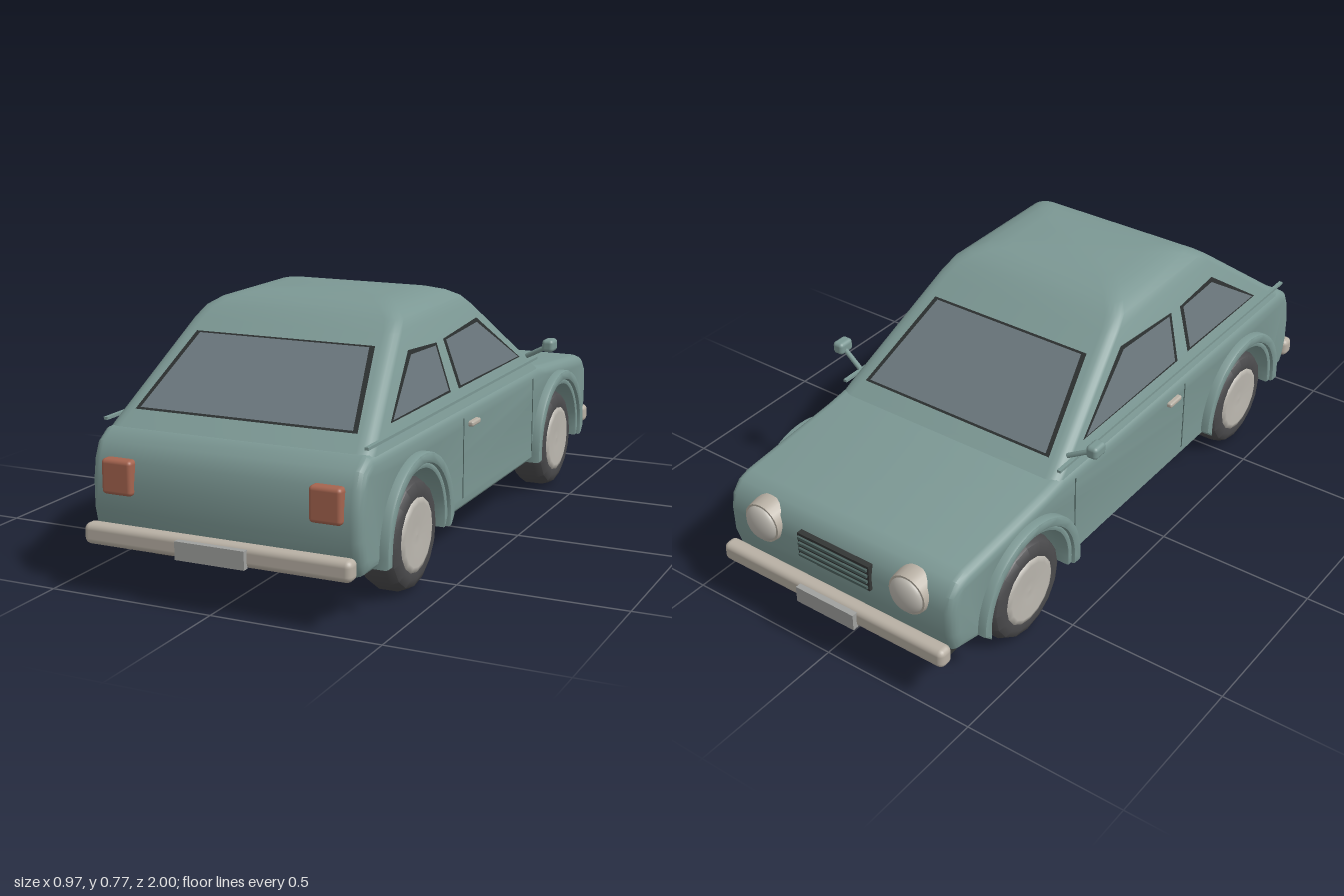
import * as THREE from 'three';
import { toCreasedNormals } from 'three/addons/utils/BufferGeometryUtils.js';
import { RoundedBoxGeometry } from 'three/addons/geometries/RoundedBoxGeometry.js';

const mat = (color, side = THREE.FrontSide) => new THREE.MeshStandardMaterial({ color, side });
const paint = mat(0x7c9894), chrome = mat(0xb8b0a4), dark = mat(0x333635), rubber = mat(0x4a4a4c);
const glass = mat(0x6b777d, THREE.DoubleSide), seal = mat(0x2c3030, THREE.DoubleSide);
const hubGrey = mat(0xbab6ae), lampRed = mat(0xa5644f), plateGrey = mat(0xa0a19f), seam = mat(0x4d625f);

const AXLES = [-0.6, 0.59], AXLE_Y = 0.16, FLOOR = 0.13;

export function createModel() {
  const car = new THREE.Group();
  car.name = 'car';

  const add = (name, geo, material, x = 0, y = 0, z = 0) => {
    const m = new THREE.Mesh(geo, material);
    m.name = name;
    m.position.set(x, y, z);
    car.add(m);
    return m;
  };
  const box = (name, w, h, d, material, x, y, z, r = 0) =>
    add(name, r ? new RoundedBoxGeometry(w, h, d, 3, r) : new THREE.BoxGeometry(w, h, d), material, x, y, z);

  // Extrude a (z, y) side profile across x, centred on x = 0
  const across = (shape, width, bevel, segments) => {
    const depth = width - 2 * bevel;
    const g = new THREE.ExtrudeGeometry(shape, {
      depth, bevelEnabled: true, bevelSize: bevel, bevelThickness: bevel,
      bevelOffset: -bevel, bevelSegments: segments, curveSegments: 16,
    });
    g.translate(0, 0, -depth / 2).rotateY(-Math.PI / 2);
    return toCreasedNormals(g, 0.6);
  };

  // Lower body with wheel arches
  const dip = Math.asin((AXLE_Y - FLOOR) / 0.19);
  const side = new THREE.Shape();
  side.moveTo(-0.9, FLOOR);
  for (const z of AXLES) side.absarc(z, AXLE_Y, 0.19, Math.PI + dip, -dip, true);
  for (const [z, y] of [[0.9, 0.13], [0.92, 0.165], [0.935, 0.23], [0.935, 0.31], [0.925, 0.37],
    [0.905, 0.415], [0.86, 0.445], [-0.42, 0.442], [-0.5, 0.43], [-0.86, 0.398], [-0.9, 0.385],
    [-0.93, 0.35], [-0.94, 0.3], [-0.938, 0.22], [-0.92, 0.16]]) side.lineTo(z, y);
  side.closePath();
  add('lowerBody', across(side, 0.82, 0.03, 4), paint);

  // Floor and inner walls of the wheel wells
  box('floor', 0.57, 0.27, 1.74, dark, 0, 0.262, 0.01);
  box('floorCentre', 0.75, 0.02, 0.78, dark, 0, 0.137, -0.005);

  // Cabin: rounded rectangles stacked upward [y, z max, z min, half width]
  const rings = [
    [0.41, 0.9, -0.49, 0.407], [0.45, 0.85, -0.43, 0.398], [0.7, 0.527, -0.06, 0.325],
    [0.73, 0.485, -0.015, 0.31], [0.75, 0.45, 0.025, 0.28], [0.763, 0.4, 0.07, 0.24], [0.769, 0.34, 0.12, 0.19],
  ];
  const STEPS = 4, n = 4 * (STEPS + 1), pos = [], idx = [];
  rings.forEach(([y, z1, z0, w]) => {
    const r = 0.04, cz = (z1 + z0) / 2, hz = (z1 - z0) / 2;
    for (let q = 0; q < 4; q++) {
      for (let s = 0; s <= STEPS; s++) {
        const a = (q + s / STEPS) * Math.PI / 2, sx = q === 0 || q === 3 ? 1 : -1, sz = q < 2 ? 1 : -1;
        pos.push(sx * (w - r) + r * Math.cos(a), y, cz + sz * (hz - r) + r * Math.sin(a));
      }
    }
  });
  for (let i = 0; i < rings.length - 1; i++) {
    for (let j = 0; j < n; j++) {
      const a = i * n + j, b = i * n + (j + 1) % n;
      idx.push(a, a + n, b, b, a + n, b + n);
    }
  }
  const top = (rings.length - 1) * n;
  pos.push(0, 0.77, 0.23);
  for (let j = 0; j < n; j++) idx.push(rings.length * n, top + (j + 1) % n, top + j);
  const cabin = new THREE.BufferGeometry();
  cabin.setAttribute('position', new THREE.Float32BufferAttribute(pos, 3));
  cabin.setIndex(idx);
  add('cabin', toCreasedNormals(cabin, 0.6), paint);

  // Windows: a pane on a slightly larger dark seal, both lying on the cabin surface
  const inside = new THREE.Vector3(0, 0.5, 0.2);
  const quad = (name, pts, grow, lift, material) => {
    const c = pts.reduce((s, p) => s.add(p), new THREE.Vector3()).multiplyScalar(0.25);
    const nrm = pts[1].clone().sub(pts[0]).cross(pts[2].clone().sub(pts[0])).normalize();
    const out = nrm.dot(c.clone().sub(inside)) > 0;
    if (!out) nrm.negate();
    const v = pts.map(p => {
      const d = p.clone().sub(c);
      return p.clone().addScaledVector(d.normalize(), grow).addScaledVector(nrm, lift);
    });
    const g = new THREE.BufferGeometry().setFromPoints(v);
    g.setIndex(out ? [0, 1, 2, 0, 2, 3] : [0, 2, 1, 0, 3, 2]);
    g.computeVertexNormals();
    add(name, g, material);
  };
  const pane = (name, pts) => {
    quad(name + 'Seal', pts, 0, 0.002, seal);
    quad(name, pts, -0.016, 0.004, glass);
  };
  const mix = (y, lo, hi) => lo + (hi - lo) * (y - 0.45) / 0.25;
  const endPane = (name, lo, hi) => pane(name, [[-0.34, 0.485], [0.34, 0.485], [0.28, 0.67], [-0.28, 0.67]]
    .map(([x, y]) => new THREE.Vector3(x, y - (lo < 0 ? 0.013 : 0), mix(y - (lo < 0 ? 0.013 : 0), lo, hi))));
  endPane('rearWindow', 0.85, 0.527);
  endPane('windshield', -0.43, -0.06);

  // Headlight reflector and lens profiles
  const lens = new THREE.SphereGeometry(0.056, 24, 10, 0, Math.PI * 2, 0, Math.PI / 2);
  lens.scale(1, 0.45, 1).rotateX(-Math.PI / 2);

  // Tyre and hub profiles, turned about x
  const turn = (pts, segs) => new THREE.LatheGeometry(pts.map(p => new THREE.Vector2(...p)), segs).rotateZ(-Math.PI / 2);
  const tyre = toCreasedNormals(turn([[0.0, -0.06], [0.12, -0.06], [0.148, -0.05], [0.16, -0.028], [0.16, 0.028],
    [0.148, 0.05], [0.125, 0.06], [0.106, 0.056], [0, 0.045]], 16), 0.7);
  const hub = turn([[0.108, 0.045], [0.106, 0.058], [0.09, 0.063], [0.03, 0.056], [0, 0.058]], 16);

  // Flared lip around a wheel arch
  const lip = (r1, r0) => {
    const s = new THREE.Shape();
    s.moveTo(-r1, FLOOR - AXLE_Y);
    s.absarc(0, 0, r1, Math.PI, 0, true);
    s.lineTo(r1, FLOOR - AXLE_Y);
    s.lineTo(r0, FLOOR - AXLE_Y);
    s.absarc(0, 0, r0, 0, Math.PI, false);
    s.lineTo(-r0, FLOOR - AXLE_Y);
    s.closePath();
    return s;
  };
  const outerLip = across(lip(0.232, 0.2), 0.055, 0.008, 2);
  const innerLip = across(lip(0.205, 0.185), 0.05, 0.005, 2);

  for (const s of [1, -1]) {
    const tag = s > 0 ? 'left' : 'right';

    // Wheels and arches
    for (const z of AXLES) {
      const at = z > 0 ? 'Rear' : 'Front';
      for (const [part, g, m] of [['Tyre', tyre, rubber], ['Hub', hub, hubGrey]]) {
        add(tag + at + part, g, m, s * 0.36, AXLE_Y, z).rotation.y = s > 0 ? 0 : Math.PI;
      }
      add(tag + at + 'ArchLip', outerLip, paint, s * 0.41, AXLE_Y, z);
      add(tag + at + 'ArchInnerLip', innerLip, paint, s * 0.4, AXLE_Y, z);
    }

    // Side windows
    const sidePane = (name, pts) => pane(tag + name,
      pts.map(([z, y]) => new THREE.Vector3(s * mix(y, 0.398, 0.325), y, z)));
    sidePane('DoorWindow', [[0.22, 0.493], [0.24, 0.64], [-0.035, 0.658], [-0.295, 0.493]]);
    sidePane('QuarterWindow', [[0.7, 0.495], [0.485, 0.65], [0.29, 0.638], [0.28, 0.495]]);

    // Belt trim, door seams and handle
    box(tag + 'BeltTrim', 0.012, 0.008, 1.3, paint, s * 0.396, 0.467, 0.22);
    for (const z of [0.235, -0.365]) box(tag + 'DoorSeam', 0.004, 0.24, 0.005, seam, s * 0.409, 0.29, z);
    box(tag + 'DoorHandle', 0.02, 0.016, 0.065, chrome, s * 0.415, 0.385, 0.165, 0.006);

    // Door mirror
    const arm = new THREE.LineCurve3(new THREE.Vector3(s * 0.385, 0.483, -0.37), new THREE.Vector3(s * 0.46, 0.522, -0.355));
    add(tag + 'MirrorArm', new THREE.TubeGeometry(arm, 1, 0.008, 8), paint);
    box(tag + 'Mirror', 0.038, 0.04, 0.055, paint, s * 0.468, 0.528, -0.352, 0.012);

    // Lamps
    box(tag + 'TailLamp', 0.095, 0.1, 0.05, lampRed, s * 0.315, 0.327, 0.928, 0.012);
    const can = new THREE.CylinderGeometry(0.062, 0.07, 0.05, 24).rotateX(-Math.PI / 2);
    add(tag + 'HeadlampRing', can, chrome, s * 0.265, 0.315, -0.928);
    add(tag + 'HeadlampLens', lens, hubGrey, s * 0.265, 0.315, -0.952);
  }

  // Grille with slats
  box('grille', 0.26, 0.085, 0.03, dark, 0, 0.3, -0.935);
  for (let i = 0; i < 4; i++) box('grilleSlat', 0.25, 0.008, 0.012, seam, 0, 0.27 + i * 0.02, -0.951);

  // Bumpers and number plates
  for (const s of [1, -1]) {
    const at = s > 0 ? 'rear' : 'front';
    box(at + 'Bumper', 0.81, 0.06, 0.05, chrome, 0, 0.168, s * 0.96, 0.018);
    box(at + 'BumperMount', 0.76, 0.03, 0.06, dark, 0, 0.15, s * 0.92);
    box(at + 'Plate', 0.21, 0.052, 0.02, plateGrey, 0, 0.165, s * 0.99);
  }
  return car;
}
